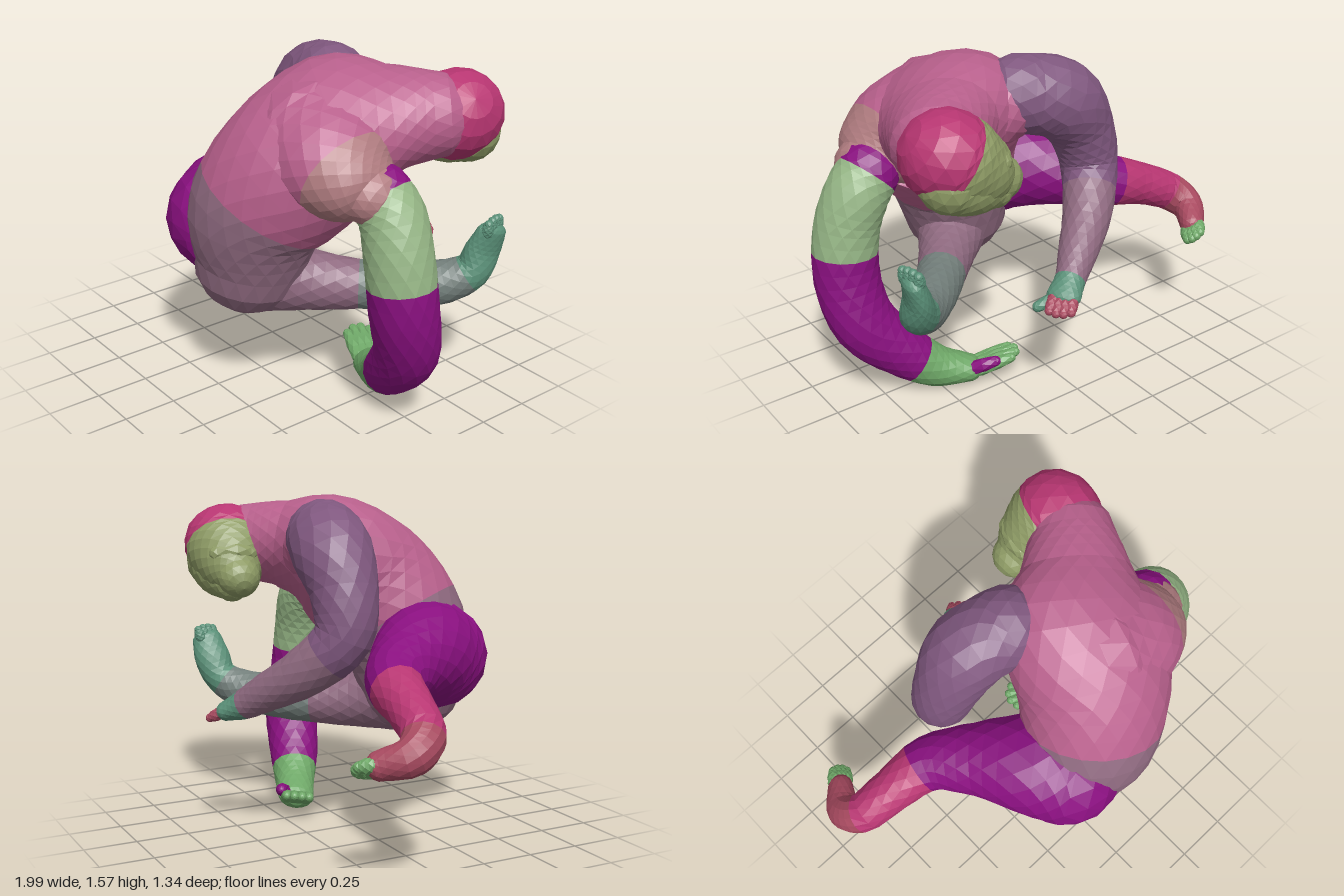
import * as THREE from 'three';

const V = (x, y, z) => new THREE.Vector3(x, y, z);
const PINK = 0xb8608c, MAUVE = 0x8f6a80, PURPLE = 0x8a1080, GREEN = 0x95b585, ROSE = 0xa84a60, TAN = 0xb07c80,
  VIOLET = 0x80587f, LEAF = 0x6fa868, SLATE = 0x74807c, TEAL = 0x5a9078, OLIVE = 0x8f9c66, CRIMSON = 0xb83672;

// Lofted limb. pts: [x, y, z, half width along side, half thickness].
// bands: [end of band 0..1, color, name]; the ends are rounded.
function limb(pts, bands, side, sides = 14, steps = 4) {
  const path = new THREE.CatmullRomCurve3(pts.map(p => V(p[0], p[1], p[2])));
  const size = new THREE.CatmullRomCurve3(pts.map(p => V(p[3], p[4] ?? p[3], 0)));
  const n = (pts.length - 1) * steps;
  const rings = [];
  const addRing = (t, scale, shift) => {
    const T = path.getTangent(t), r = size.getPoint(t);
    const S = side.clone().addScaledVector(T, -side.dot(T)).normalize();
    const U = T.clone().cross(S);
    const c = path.getPoint(t).addScaledVector(T, shift * Math.min(r.x, r.y));
    const ring = [];
    for (let j = 0; j < sides; j++) {
      const a = (j + (rings.length % 2) * 0.5) / sides * Math.PI * 2;
      ring.push(c.clone().addScaledVector(S, r.x * scale * Math.cos(a)).addScaledVector(U, r.y * scale * Math.sin(a)));
    }
    rings.push({ t, ring });
  };
  const caps = [1.5, 1.15, 0.75, 0.38];
  for (const a of caps) addRing(0, Math.cos(a), -Math.sin(a));
  for (let i = 0; i <= n; i++) addRing(i / n, 1, 0);
  for (const a of [...caps].reverse()) addRing(1, Math.cos(a), Math.sin(a));
  // Close both tips to a point
  for (const { ring } of [rings[0], rings[rings.length - 1]]) {
    const c = ring.reduce((s, p) => s.add(p), V(0, 0, 0)).divideScalar(sides);
    ring.forEach(p => p.copy(c));
  }

  const group = new THREE.Group();
  let from = -1;
  for (const [end, color, name] of bands) {
    const pos = [];
    const tri = (...v) => v.forEach(p => pos.push(p.x, p.y, p.z));
    for (let i = 0; i < rings.length - 1; i++) {
      const mid = (rings[i].t + rings[i + 1].t) / 2;
      if (mid <= from || mid > end) continue;
      const A = rings[i].ring, B = rings[i + 1].ring;
      for (let j = 0; j < sides; j++) {
        const k = (j + 1) % sides;
        if (i % 2) { tri(A[j], A[k], B[k]); tri(A[j], B[k], B[j]); }
        else { tri(A[j], A[k], B[j]); tri(A[k], B[k], B[j]); }
      }
    }
    const g = new THREE.BufferGeometry();
    g.setAttribute('position', new THREE.Float32BufferAttribute(pos, 3));
    g.computeVertexNormals();
    const m = new THREE.Mesh(g, new THREE.MeshStandardMaterial({ color, flatShading: true }));
    m.name = name;
    group.add(m);
    from = end;
  }
  return group;
}

// Row of tapered digits lying close together across a palm or sole.
function digits(base, tip, spread, count, r, color) {
  const g = new THREE.Group();
  for (let i = 0; i < count; i++) {
    const k = i / (count - 1) * 2 - 1;
    const a = base.clone().addScaledVector(spread, k * 0.8);
    const b = tip.clone().addScaledVector(spread, k).lerp(a, 0.2 * Math.abs(k));
    const m = a.clone().lerp(b, 0.55);
    g.add(limb([[a.x, a.y, a.z, r], [m.x, m.y, m.z, r * 0.95], [b.x, b.y, b.z, r * 0.7]],
      [[1, color, 'digit']], V(0.3, 1, 0.2), 7, 2));
  }
  return g;
}

export function createModel() {
  const root = new THREE.Group();
  const add = (name, g) => { g.name = name; root.add(g); };

  // Hunched body from pelvis to neck
  add('torso', limb([
    [0.10, 0.67, 0.37, 0.26, 0.26], [0.14, 0.91, 0.35, 0.32, 0.32], [0.25, 1.12, 0.235, 0.36, 0.335],
    [0.34, 1.28, 0.05, 0.38, 0.29], [0.48, 1.33, -0.12, 0.26, 0.21], [0.58, 1.34, -0.25, 0.2, 0.19],
  ], [[0.26, MAUVE, 'pelvis'], [1, PINK, 'back']], V(0.9, -0.35, 0.25), 20, 4));

  // Broad shoulder sloping out to the left arm, and the chest behind the right shoulder
  add('leftShoulder', limb([
    [0.32, 1.22, 0.16, 0.32, 0.31], [0.5, 1.185, 0.19, 0.29, 0.25], [0.62, 1.14, 0.185, 0.225, 0.185], [0.69, 1.11, 0.165, 0.15, 0.13],
  ], [[0.5, PINK, 'shoulderTop'], [1, TAN, 'shoulderSide']], V(0, 0, 1), 18));
  add('upperChest', limb([[0.12, 1.36, -0.1, 0.17], [0.28, 1.31, -0.07, 0.18], [0.44, 1.26, -0.08, 0.17]],
    [[1, PINK, 'chest']], V(0, 1, 0)));

  // Head, turned down and aside
  add('head', limb([
    [0.61, 1.33, -0.37, 0.22, 0.2], [0.54, 1.28, -0.39, 0.205, 0.195], [0.45, 1.225, -0.41, 0.155, 0.155],
    [0.385, 1.19, -0.415, 0.105, 0.1],
  ], [[0.2, CRIMSON, 'crown'], [1, OLIVE, 'face']], V(0, 0, 1), 16));
  add('jaw', limb([[0.63, 1.25, -0.43, 0.145], [0.54, 1.2, -0.44, 0.125], [0.42, 1.15, -0.435, 0.08]],
    [[1, OLIVE, 'chin']], V(0, 0, 1)));
  add('brow', limb([[0.395, 1.3, -0.36, 0.045], [0.395, 1.31, -0.42, 0.05], [0.43, 1.3, -0.5, 0.045]],
    [[1, OLIVE, 'browRidge']], V(0, 1, 0), 8, 2));

  // Left arm, reaching down to the ground
  add('leftArm', limb([
    [0.69, 1.1, 0.13, 0.14], [0.76, 1.02, 0.12, 0.145], [0.82, 0.86, 0.13, 0.145, 0.152], [0.845, 0.62, 0.115, 0.145, 0.155],
    [0.805, 0.4, 0.055, 0.135, 0.15], [0.655, 0.22, -0.005, 0.125], [0.51, 0.11, -0.07, 0.1], [0.37, 0.075, -0.13, 0.09, 0.065],
  ], [[0.02, PURPLE, 'leftArmpit'], [0.34, GREEN, 'leftUpperArm'], [0.8, PURPLE, 'leftForearm'], [1, LEAF, 'leftPalm']],
  V(0.3, 0, 1)));
  add('leftFingers', digits(V(0.32, 0.08, -0.15), V(0.15, 0.14, -0.22), V(0.025, 0.005, -0.05), 4, 0.033, LEAF));
  add('leftThumb', limb([[0.38, 0.09, -0.17, 0.035], [0.34, 0.125, -0.22, 0.032], [0.29, 0.14, -0.245, 0.025]],
    [[1, PURPLE, 'thumb']], V(0, 1, 0), 7, 2));

  // Right arm, bent at the elbow and crossing the chest
  add('rightArm', limb([
    [0.06, 1.39, -0.12, 0.18], [-0.12, 1.34, -0.17, 0.185], [-0.245, 1.17, -0.175, 0.155], [-0.28, 0.98, -0.2, 0.135],
    [-0.17, 0.82, -0.33, 0.115], [-0.02, 0.71, -0.45, 0.09], [0.08, 0.64, -0.525, 0.07], [0.15, 0.605, -0.57, 0.08, 0.05],
  ], [[0.5, VIOLET, 'rightUpperArm'], [0.87, MAUVE, 'rightForearm'], [1, TEAL, 'rightPalm']], V(0.5, 0, 0.8)));
  add('rightFingers', digits(V(0.165, 0.6, -0.585), V(0.22, 0.565, -0.63), V(0.035, 0, 0.035), 4, 0.03, ROSE));
  add('rightThumb', limb([[0.14, 0.6, -0.54, 0.035], [0.2, 0.58, -0.53, 0.03], [0.25, 0.56, -0.515, 0.025]],
    [[1, TEAL, 'thumb']], V(0, 1, 0), 7, 2));

  // Left leg, stretched under the body with the foot upright
  add('leftLeg', limb([
    [0.14, 0.6, 0.32, 0.19], [0.28, 0.56, 0.16, 0.14], [0.42, 0.545, 0.0, 0.115], [0.56, 0.555, -0.15, 0.11],
    [0.69, 0.58, -0.28, 0.1], [0.765, 0.64, -0.365, 0.085], [0.79, 0.74, -0.4, 0.06, 0.09], [0.82, 0.83, -0.415, 0.045, 0.075],
  ], [[0.3, MAUVE, 'leftThigh'], [0.68, SLATE, 'leftShin'], [1, TEAL, 'leftFoot']], V(1, 0.01, 0.2)));
  add('leftToes', digits(V(0.82, 0.84, -0.415), V(0.83, 0.89, -0.42), V(0.012, 0, 0.045), 4, 0.03, TEAL));

  // Right leg, thrown out to the side
  add('rightLeg', limb([
    [-0.07, 0.82, 0.4, 0.26], [-0.17, 0.85, 0.28, 0.24], [-0.34, 0.83, 0.08, 0.17], [-0.5, 0.79, -0.06, 0.13],
    [-0.7, 0.725, -0.1, 0.105], [-0.87, 0.645, -0.14, 0.095], [-0.915, 0.59, -0.22, 0.085, 0.08], [-0.85, 0.55, -0.33, 0.065, 0.06],
  ], [[0.48, PURPLE, 'rightThigh'], [0.72, CRIMSON, 'rightShin'], [1, ROSE, 'rightFoot']], V(0.4, 1, 0.3)));
  add('rightToes', digits(V(-0.835, 0.54, -0.35), V(-0.79, 0.525, -0.41), V(0.025, -0.02, 0.015), 4, 0.036, LEAF));

  return root;
}
